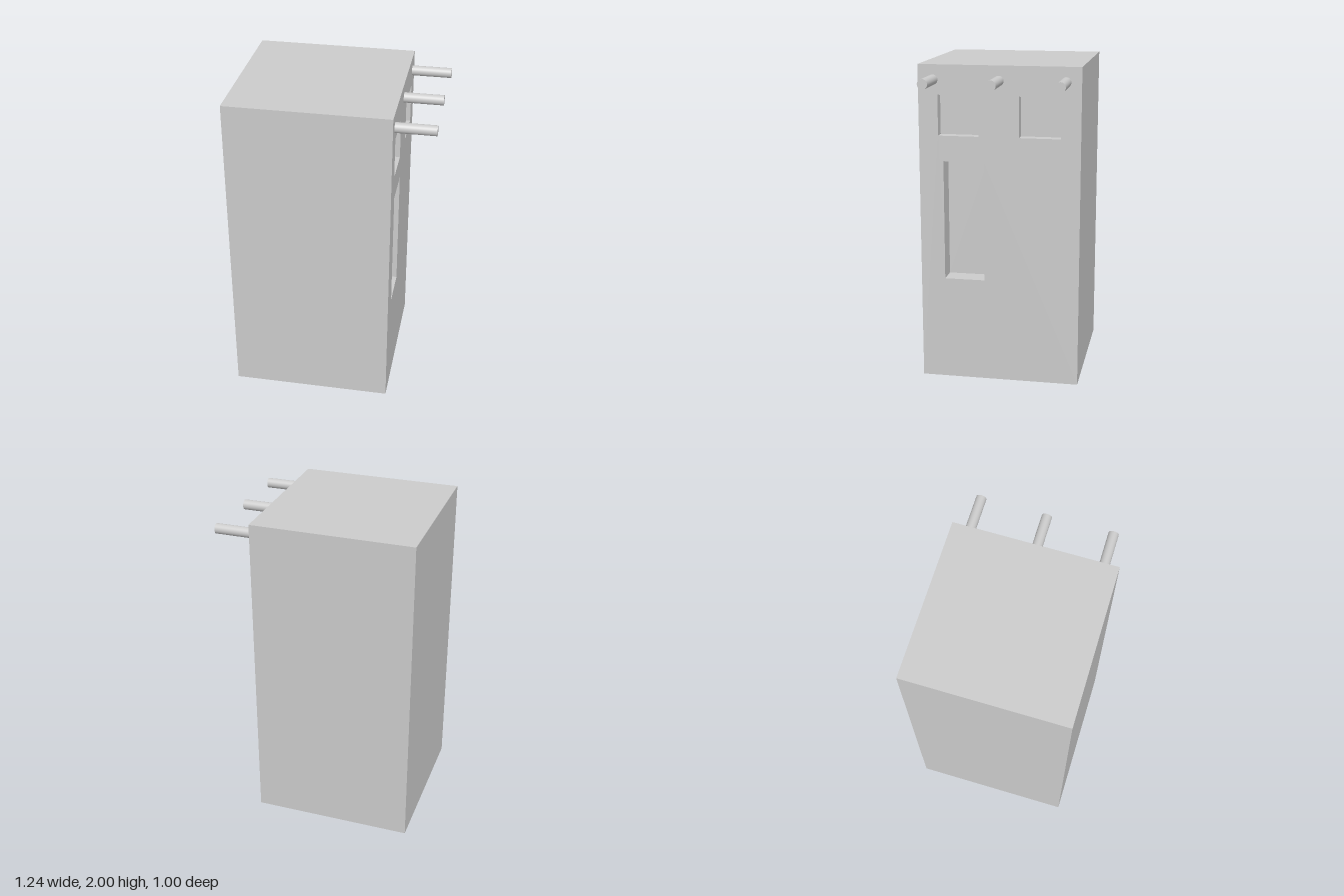
import * as THREE from 'three';

const BACK = -0.622, FACE = 0.374, HALF = 0.499, HEIGHT = 2;

// Recesses sunk into the +x face: centre z, centre y, height, depth
const WIDTH = 0.253;
const RECESSES = [
  { name: 'leftWindow', z: 0.252, y: 1.692, h: 0.25, d: 0.067 },
  { name: 'rightWindow', z: -0.25, y: 1.692, h: 0.25, d: 0.067 },
  { name: 'doorway', z: 0.221, y: 1.033, h: 0.752, d: 0.125 },
];

// Pegs along the top of the +x face: z and tip x
const PEGS = [[0.407, 0.617], [0.002, 0.614], [-0.404, 0.622]];

function rectangle(target, cx, cy, w, h) {
  target.moveTo(cx - w / 2, cy - h / 2);
  target.lineTo(cx + w / 2, cy - h / 2);
  target.lineTo(cx + w / 2, cy + h / 2);
  target.lineTo(cx - w / 2, cy + h / 2);
  target.closePath();
  return target;
}

// Box with one of its six sides left out (order: +x, -x, +y, -y, +z, -z)
function openBox(w, h, d, side) {
  const geometry = new THREE.BoxGeometry(w, h, d);
  const index = Array.from(geometry.index.array);
  index.splice(side * 6, 6);
  geometry.setIndex(index);
  geometry.clearGroups();
  return geometry;
}

export function createModel() {
  const model = new THREE.Group();
  model.name = 'tower';
  const material = new THREE.MeshStandardMaterial({ color: 0xcccccc });
  const add = (name, geometry, x, y, z) => {
    const mesh = new THREE.Mesh(geometry, material);
    mesh.name = name;
    mesh.position.set(x, y, z);
    model.add(mesh);
  };

  // Tower walls, roof and base
  add('towerBody', openBox(FACE - BACK, HEIGHT, HALF * 2, 0), (FACE + BACK) / 2, HEIGHT / 2, 0);

  // Wall with the window and door openings
  const wall = rectangle(new THREE.Shape(), 0, HEIGHT / 2, HALF * 2, HEIGHT);
  for (const r of RECESSES) wall.holes.push(rectangle(new THREE.Path(), -r.z, r.y, WIDTH, r.h));
  add('facade', new THREE.ShapeGeometry(wall).rotateY(Math.PI / 2), FACE, 0, 0);

  // Inward-facing linings of the openings, open towards +x
  for (const r of RECESSES) {
    const lining = openBox(r.d, r.h, WIDTH, 1).scale(-1, 1, 1);
    lining.computeVertexNormals();
    add(r.name, lining, FACE - r.d / 2, r.y, r.z);
  }

  // Round pegs
  for (const [z, tip] of PEGS) {
    const length = tip - FACE;
    const peg = new THREE.CylinderGeometry(0.031, 0.031, length, 32).rotateZ(-Math.PI / 2);
    add('peg', peg, FACE + length / 2, 1.908, z);
  }
  return model;
}
